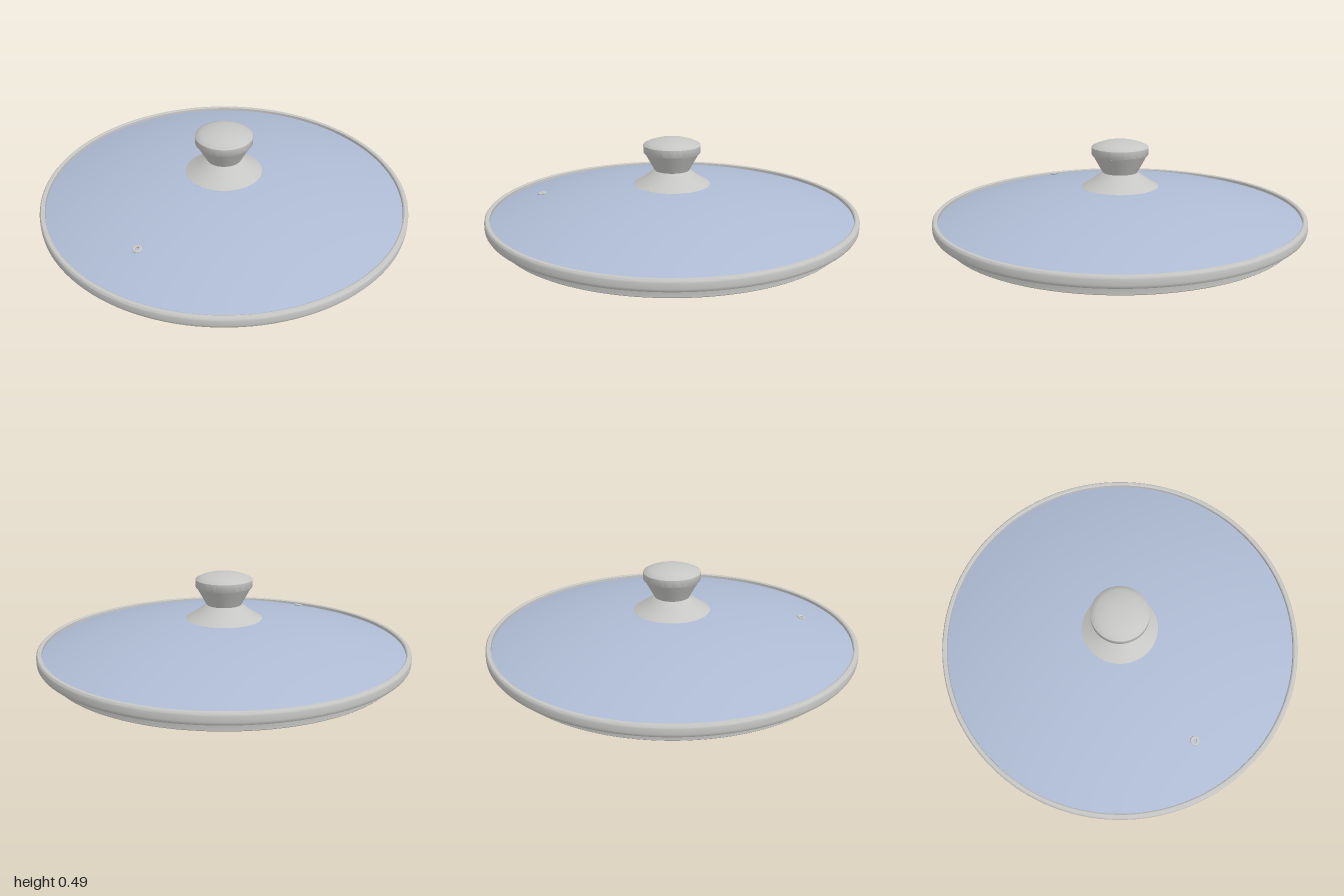
import * as THREE from 'three';
import { toCreasedNormals } from 'three/addons/utils/BufferGeometryUtils.js';

const glass = new THREE.MeshStandardMaterial({ color: 0xaebbd3 });
glass.name = 'smoky blue glass';
const metal = new THREE.MeshStandardMaterial({ color: 0xc6c6c4 });
metal.name = 'brushed metal';

// Height of the glass dome at a given radius
const domeY = (r) => 0.247 - (r * r) / 6.06;

// Turns a radius/height profile around y, keeping hard edges sharp
function turned(name, profile, material, segments = 128, crease = 0.6) {
  const points = profile.map(([r, y]) => new THREE.Vector2(r, y));
  const geometry = toCreasedNormals(new THREE.LatheGeometry(points, segments), crease);
  const mesh = new THREE.Mesh(geometry, material);
  mesh.name = name;
  return mesh;
}

export function createModel() {
  const lid = new THREE.Group();
  lid.name = 'panLid';

  // Glass dome: outer skin from rim to apex, inner skin curling down into the skirt
  const outer = [];
  const inner = [];
  for (let i = 0; i <= 20; i++) {
    const r = 0.975 * (1 - i / 20);
    outer.push([r, domeY(r)]);
  }
  for (let i = 0; i <= 20; i++) {
    const r = 0.928 * (i / 20);
    const curl = 0.06 * Math.pow(r / 0.928, 10);
    inner.push([r, domeY(r) - 0.014 - curl]);
  }
  lid.add(turned('glassDome', outer, glass));
  lid.add(turned('glassUnderside', inner, glass));

  // Metal rim band with rounded edges and a narrower skirt below
  lid.add(turned('rim', [
    [0.925, 0.04], [0.925, 0.004], [0.929, 0], [0.936, 0], [0.94, 0.004],
    [0.94, 0.036], [0.943, 0.046], [0.951, 0.051],
    [0.985, 0.051], [0.994, 0.054], [0.999, 0.062], [1, 0.07],
    [1, 0.095], [0.998, 0.104], [0.992, 0.11], [0.978, 0.111],
    [0.972, 0.107], [0.971, 0.085],
  ], metal));

  // Knob: flared foot, waist, widening grip and crowned cap
  const knob = new THREE.Group();
  knob.name = 'knob';
  knob.add(turned('knobFoot', [
    [0.207, 0.232], [0.207, 0.24], [0.17, 0.262], [0.13, 0.29], [0.098, 0.317], [0, 0.317],
  ], metal, 64));
  knob.add(turned('knobGrip', [
    [0.094, 0.315], [0.105, 0.336], [0.125, 0.372], [0.146, 0.41],
  ], metal, 64));
  knob.add(turned('knobCap', [
    [0.144, 0.41], [0.15, 0.411], [0.154, 0.417], [0.154, 0.454], [0.15, 0.459],
    [0.125, 0.471], [0.09, 0.482], [0.045, 0.489], [0, 0.491],
  ], metal, 64));
  lid.add(knob);

  // Washer and screw head under the glass
  lid.add(turned('washer', [
    [0, 0.222], [0.056, 0.222], [0.063, 0.226], [0.063, 0.236],
  ], metal, 40));
  lid.add(turned('screwHead', [
    [0, 0.208], [0.018, 0.21], [0.029, 0.216], [0.031, 0.223],
  ], metal, 32));

  // Steam vent eyelet, tilted to the slope of the dome
  const vent = turned('steamVent', [
    [0.011, -0.022], [0.02, -0.024], [0.025, -0.018], [0.018, -0.013],
    [0.018, 0], [0.025, 0.003], [0.024, 0.008], [0.018, 0.011],
    [0.011, 0.008], [0.011, -0.022],
  ], metal, 32);
  vent.position.set(-0.72, domeY(0.72), 0);
  vent.rotation.z = Math.atan(0.238);
  lid.add(vent);

  return lid;
}
